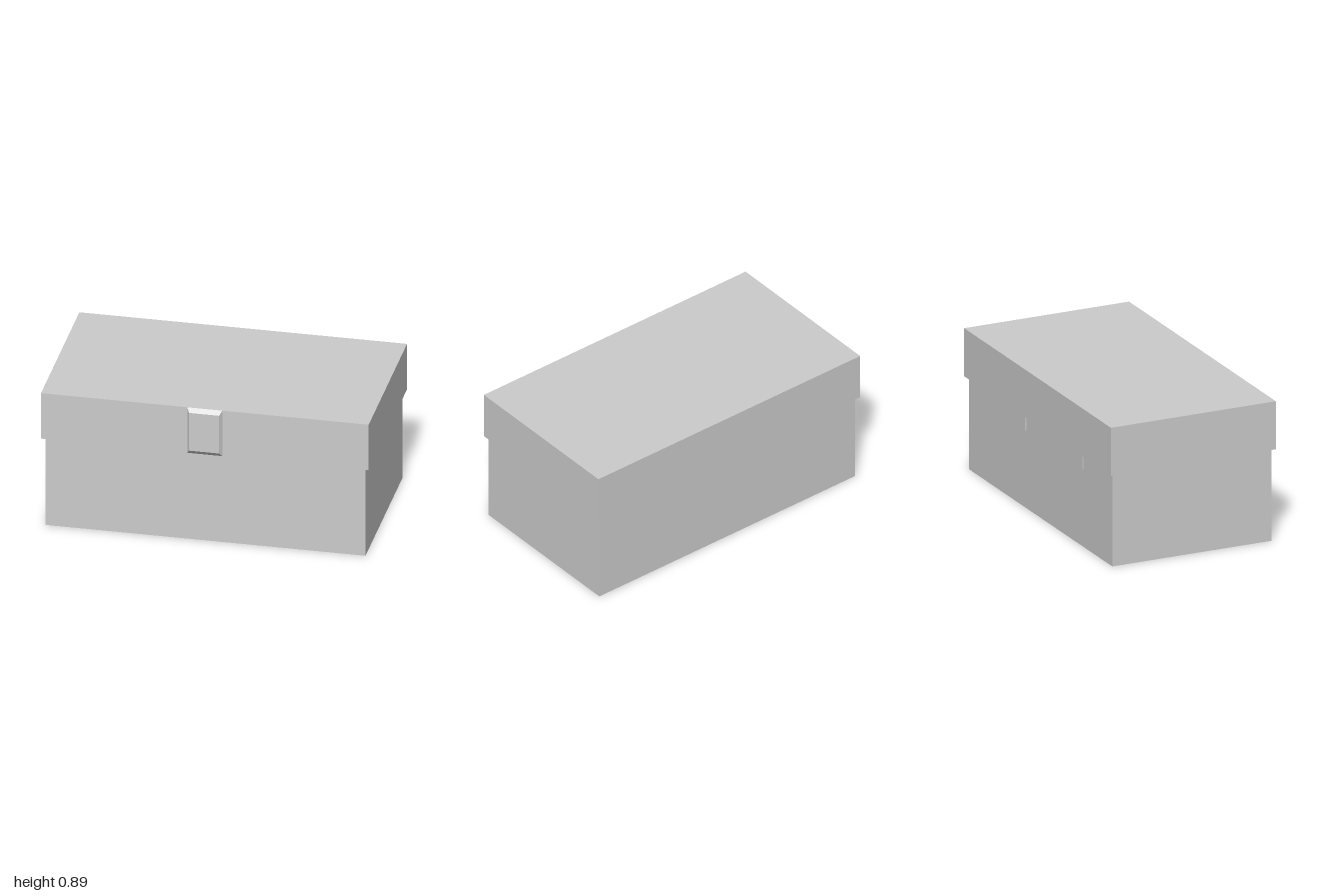
import * as THREE from 'three';

const material = new THREE.MeshStandardMaterial({ color: 0xcccccc, flatShading: true });

// Box given by its minimum and maximum corners
function block(name, [x0, y0, z0], [x1, y1, z1]) {
  const geometry = new THREE.BoxGeometry(x1 - x0, y1 - y0, z1 - z0);
  geometry.translate((x0 + x1) / 2, (y0 + y1) / 2, (z0 + z1) / 2);
  const mesh = new THREE.Mesh(geometry, material);
  mesh.name = name;
  return mesh;
}

// Narrow the front face of a block so that its four sides are bevelled
function bevelFront(mesh, scaleX, scaleY) {
  const geometry = mesh.geometry;
  geometry.computeBoundingBox();
  const center = geometry.boundingBox.getCenter(new THREE.Vector3());
  const p = geometry.attributes.position;
  for (let i = 0; i < p.count; i++) {
    if (p.getZ(i) < center.z) continue;
    p.setX(i, center.x + (p.getX(i) - center.x) * scaleX);
    p.setY(i, center.y + (p.getY(i) - center.y) * scaleY);
  }
  geometry.computeVertexNormals();
  return mesh;
}

export function createModel() {
  const chest = new THREE.Group();
  chest.name = 'chest';

  // Body and the overhanging lid
  chest.add(block('body', [-0.977, 0, -0.538], [0.977, 0.583, 0.519]));
  chest.add(block('lid', [-1, 0.583, -0.558], [1, 0.887, 0.537]));

  // Bevelled latch on the front of the lid
  chest.add(bevelFront(block('latch', [-0.107, 0.583, 0.537], [0.107, 0.887, 0.558]), 0.86, 0.83));

  // Two hinge plates on the back, just below the lid
  for (const [name, x] of [['leftHinge', 0.39], ['rightHinge', -0.39]]) {
    chest.add(block(name, [x - 0.198, 0.493, -0.547], [x + 0.198, 0.578, -0.53]));
  }

  return chest;
}
